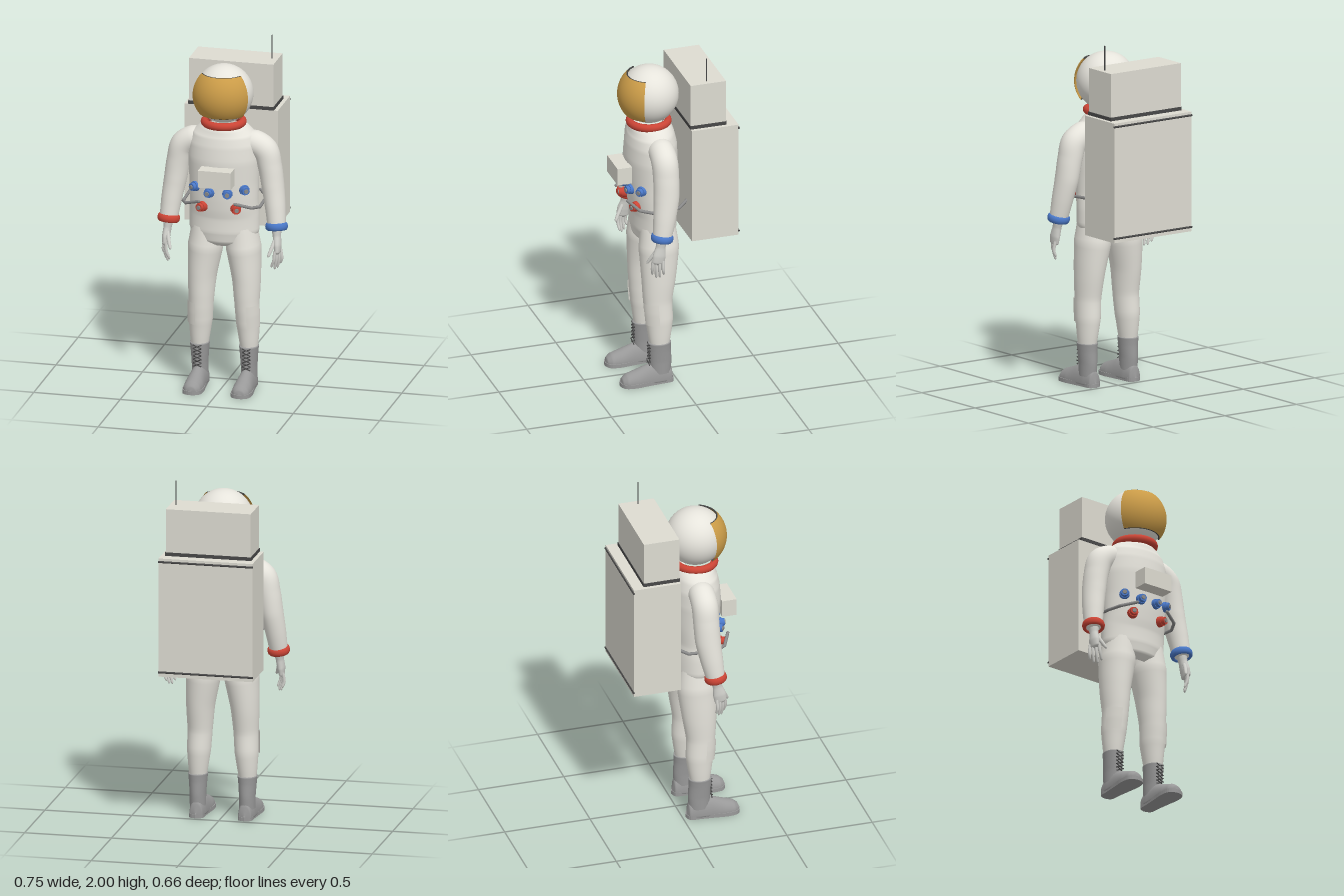
import * as THREE from 'three';

const mat = (name, color, side = THREE.FrontSide) => {
  const m = new THREE.MeshStandardMaterial({ color, side });
  m.name = name;
  return m;
};

// Skin through elliptical sections [x, y, z, rx, rz] placed across a smooth spine
function limbGeometry(stations, { ref = [0, 0, 1], from = 0, to = Math.PI * 2, around = 28, steps = 6 } = {}) {
  const spine = new THREE.CatmullRomCurve3(stations.map(s => new THREE.Vector3(s[0], s[1], s[2])));
  const rows = (stations.length - 1) * steps, pos = [], idx = [];
  const closed = to - from > 6.28, cols = closed ? around : around + 1;
  for (let i = 0; i <= rows; i++) {
    const t = i / rows, k = Math.min(Math.floor(i / steps), stations.length - 2), f = i / steps - k;
    const c = spine.getPoint(t), tan = spine.getTangent(t);
    const w = new THREE.Vector3(...ref).projectOnPlane(tan).normalize();
    const u = w.clone().cross(tan);
    const rx = THREE.MathUtils.lerp(stations[k][3], stations[k + 1][3], f);
    const rz = THREE.MathUtils.lerp(stations[k][4], stations[k + 1][4], f);
    for (let j = 0; j < cols; j++) {
      const a = from + (to - from) * j / around;
      const p = c.clone().addScaledVector(u, rx * Math.cos(a)).addScaledVector(w, rz * Math.sin(a));
      pos.push(p.x, p.y, p.z);
    }
  }
  for (let i = 0; i < rows; i++) for (let j = 0; j < around; j++) {
    const a = i * cols + j, b = i * cols + (j + 1) % cols;
    idx.push(a, b, a + cols, b, b + cols, a + cols);
  }
  const g = new THREE.BufferGeometry();
  g.setAttribute('position', new THREE.Float32BufferAttribute(pos, 3));
  g.setIndex(idx);
  g.computeVertexNormals();
  return g;
}

export function createModel() {
  const model = new THREE.Group();
  model.name = 'astronaut';
  const suit = mat('suit white', 0xe6e4dc), pack = mat('pack white', 0xdddbd1);
  const patch = mat('pocket white', 0xe0ded6, THREE.DoubleSide);
  const glove = mat('glove grey', 0xcfcfca), boot = mat('boot grey', 0x999999);
  const dark = mat('dark trim', 0x484848), hose = mat('hose grey', 0x8a8a8a);
  const gold = mat('visor gold', 0xcb9c48, THREE.DoubleSide);
  const red = mat('red', 0xcc4536), blue = mat('blue', 0x4a78c8);

  const add = (name, geo, material, x = 0, y = 0, z = 0) => {
    const m = new THREE.Mesh(geo, material);
    m.name = name;
    m.position.set(x, y, z);
    model.add(m);
    return m;
  };
  const box = (name, w, h, d, material, x, y, z) => add(name, new THREE.BoxGeometry(w, h, d), material, x, y, z);
  const rod = (name, a, b, r, material) => {
    const p = new THREE.Vector3(...a), d = new THREE.Vector3(...b).sub(p);
    const m = add(name, new THREE.CylinderGeometry(r, r, d.length(), 8), material);
    m.position.copy(p).addScaledVector(d, 0.5);
    m.quaternion.setFromUnitVectors(new THREE.Vector3(0, 1, 0), d.normalize());
  };

  // Torso
  add('torso', limbGeometry([
    [0, 0.84, 0.095, 0.09, 0.07], [0, 0.87, 0.095, 0.175, 0.112], [0, 0.93, 0.094, 0.2, 0.124],
    [0, 1.02, 0.096, 0.2, 0.124], [0, 1.1, 0.105, 0.196, 0.128], [0, 1.22, 0.105, 0.198, 0.14],
    [0, 1.35, 0.107, 0.205, 0.147], [0, 1.44, 0.106, 0.2, 0.141], [0, 1.5, 0.108, 0.178, 0.128],
    [0, 1.54, 0.112, 0.135, 0.112], [0, 1.57, 0.115, 0.09, 0.09]], { around: 40 }), suit);

  // Helmet, visor with dark rims, neck ring
  const hy = 1.728, hz = 0.115, vr = 0.179, half = 1.11, top = 0.79, bottom = 2.25;
  add('helmet', new THREE.SphereGeometry(0.167, 48, 32), suit, 0, hy, hz);
  add('visor', new THREE.SphereGeometry(vr, 40, 28, Math.PI / 2 - half, half * 2, top, bottom - top), gold, 0, hy, hz);
  for (const th of [top, bottom]) {
    const rim = add('visorRim', new THREE.TorusGeometry(0.174 * Math.sin(th), 0.005, 6, 40, half * 2), dark,
      0, hy + 0.174 * Math.cos(th), hz);
    rim.rotation.set(Math.PI / 2, 0, Math.PI / 2 - half);
  }
  const neck = add('neckRing', new THREE.TorusGeometry(0.108, 0.021, 12, 48), red, 0, 1.562, 0.117);
  neck.rotation.x = Math.PI / 2;
  neck.scale.z = 1.1;

  // Life support pack
  box('packBody', 0.54, 0.685, 0.275, pack, 0, 1.2475, -0.1875);
  box('packSeam', 0.495, 0.02, 0.214, dark, 0, 1.6, -0.155);
  box('packTop', 0.488, 0.25, 0.208, pack, 0, 1.735, -0.155);
  for (const y of [0.93, 1.57]) rod('packTrim', [-0.272, y, -0.326], [0.272, y, -0.326], 0.006, dark);
  rod('antenna', [0.21, 1.85, -0.155], [0.21, 2, -0.155], 0.003, dark);
  box('chestBox', 0.19, 0.1, 0.085, pack, 0, 1.28, 0.288);

  // Hose fittings following the chest curve
  const fitting = (x, y, material) => {
    const z = 0.105 + 0.137 * Math.sqrt(1 - (x / 0.198) ** 2);
    const g = new THREE.Group();
    g.name = 'hoseFitting';
    for (const [r, h, d, m] of [[0.031, 0.03, 0, material], [0.024, 0.022, 0.022, material], [0.013, 0.008, 0.035, hose]]) {
      const c = new THREE.Mesh(new THREE.CylinderGeometry(r * 0.9, r, h, 16), m);
      c.name = 'fittingRing';
      c.rotation.x = Math.PI / 2;
      c.position.z = d;
      g.add(c);
    }
    g.position.set(x, y, z);
    g.rotation.y = Math.atan2(x / 0.198 ** 2, (z - 0.105) / 0.137 ** 2);
    model.add(g);
  };

  for (const s of [1, -1]) {
    const side = list => list.map(p => [p[0] * s, ...p.slice(1)]);
    fitting(0.14 * s, 1.195, blue);
    fitting(0.052 * s, 1.175, blue);
    fitting(0.098 * s, 1.085, red);

    // Bent tube from the front of the waist round to the pack
    const path = side([[0.105, 1.13, 0.275], [0.19, 1.1, 0.23], [0.222, 1.09, 0.165], [0.222, 1.1, 0.01], [0.165, 1.12, -0.06]]);
    path.forEach((p, i) => {
      add('tubeJoint', new THREE.SphereGeometry(0.009, 8, 6), hose, ...p);
      if (i) rod('waistTube', path[i - 1], p, 0.009, hose);
    });

    // Arm and cuff
    add('arm', limbGeometry(side([[0.09, 1.45, 0.1, 0.05, 0.06], [0.17, 1.447, 0.1, 0.071, 0.074],
      [0.235, 1.405, 0.1, 0.074, 0.075], [0.262, 1.32, 0.1, 0.068, 0.074], [0.282, 1.2, 0.105, 0.064, 0.073],
      [0.3, 1.08, 0.122, 0.058, 0.064], [0.312, 0.97, 0.14, 0.05, 0.052], [0.313, 0.945, 0.143, 0.02, 0.02]])), suit);
    const cuff = add('cuff', new THREE.TorusGeometry(0.051, 0.013, 10, 36), s > 0 ? blue : red, 0.312 * s, 0.975, 0.14);
    cuff.quaternion.setFromUnitVectors(new THREE.Vector3(0, 0, 1), new THREE.Vector3(0.08 * s, -1, 0.16).normalize());
    cuff.scale.z = 1.7;

    // Glove with four fingers and a thumb
    const small = { around: 10, steps: 3 };
    add('palm', limbGeometry(side([[0.312, 0.97, 0.142, 0.03, 0.032], [0.316, 0.92, 0.15, 0.023, 0.028],
      [0.322, 0.87, 0.16, 0.022, 0.038], [0.324, 0.83, 0.166, 0.016, 0.036], [0.324, 0.815, 0.168, 0.002, 0.01]]), { around: 16 }), glove);
    for (let i = 0; i < 4; i++) {
      const z = 0.14 + i * 0.018, x = 0.335 - i * 0.007, tip = [0.755, 0.735, 0.73, 0.745][i];
      add('finger', limbGeometry(side([[x, 0.845, z, 0.009, 0.009], [x + 0.008 - i * 0.004, 0.79, z + 0.003, 0.009, 0.009],
        [x - i * 0.006, tip + 0.008, z - 0.002, 0.007, 0.007], [x - i * 0.006, tip, z - 0.002, 0.001, 0.001]]), small), glove);
    }
    add('thumb', limbGeometry(side([[0.312, 0.91, 0.165, 0.011, 0.011], [0.298, 0.86, 0.195, 0.011, 0.011],
      [0.284, 0.82, 0.217, 0.008, 0.008], [0.282, 0.812, 0.22, 0.001, 0.001]]), small), glove);

    // Leg and shin pocket
    add('leg', limbGeometry(side([[0.1, 0.95, 0.096, 0.085, 0.1], [0.11, 0.82, 0.094, 0.099, 0.116],
      [0.127, 0.65, 0.1, 0.081, 0.1], [0.132, 0.5, 0.107, 0.07, 0.083], [0.137, 0.38, 0.1, 0.067, 0.079],
      [0.142, 0.25, 0.1, 0.051, 0.059], [0.142, 0.2, 0.1, 0.045, 0.05]])), suit);
    add('shinPocket', limbGeometry(side([[0.132, 0.5, 0.107, 0.076, 0.089], [0.1345, 0.44, 0.104, 0.076, 0.088],
      [0.137, 0.37, 0.1, 0.073, 0.085]]), s > 0 ? { from: 0.2, to: 1.4, around: 12 } : { from: Math.PI - 1.4, to: Math.PI - 0.2, around: 12 }), patch);

    // Boot shaft, foot and sole
    add('bootShaft', limbGeometry(side([[0.142, 0.06, 0.095, 0.045, 0.06], [0.142, 0.13, 0.095, 0.046, 0.064],
      [0.142, 0.2, 0.099, 0.051, 0.064], [0.142, 0.245, 0.1, 0.056, 0.066], [0.142, 0.25, 0.1, 0.045, 0.05]])), boot);
    const foot = limbGeometry(side([[0.14, 0.02, 0.022, 0.004, 0.01], [0.14, 0.02, 0.034, 0.037, 0.07], [0.14, 0.02, 0.09, 0.047, 0.105],
      [0.14, 0.02, 0.165, 0.05, 0.094], [0.14, 0.02, 0.24, 0.055, 0.066], [0.14, 0.02, 0.295, 0.05, 0.048],
      [0.14, 0.02, 0.32, 0.03, 0.026], [0.14, 0.02, 0.326, 0.002, 0.002]]), { ref: [0, 1, 0] });
    const fp = foot.attributes.position;
    for (let i = 0; i < fp.count; i++) fp.setY(i, Math.max(fp.getY(i), 0.012));
    foot.computeVertexNormals();
    add('bootFoot', foot, boot);
    const outline = new THREE.Shape(new THREE.SplineCurve([[0, 0.018], [0.038, 0.036], [0.044, 0.1], [0.052, 0.18],
      [0.059, 0.25], [0.047, 0.31], [0, 0.331], [-0.047, 0.31], [-0.059, 0.25], [-0.052, 0.18], [-0.044, 0.1],
      [-0.038, 0.036], [0, 0.018]].map(p => new THREE.Vector2(p[0], -p[1]))).getPoints(48));
    const sole = add('bootSole', new THREE.ExtrudeGeometry(outline, { depth: 0.022, bevelEnabled: false }), boot, 0.14 * s, 0, 0);
    sole.rotation.x = -Math.PI / 2;

    // Crossed laces
    for (let i = 0; i < 6; i++) {
      const y = 0.115 + i * 0.021, z = 0.161 + (i === 0 ? 0.004 : 0);
      for (const d of [1, -1])
        rod('lace', [0.142 * s - 0.024 * d, y, z], [0.142 * s + 0.024 * d, y + 0.021, z + 0.003], 0.003, dark);
    }
  }
  return model;
}
